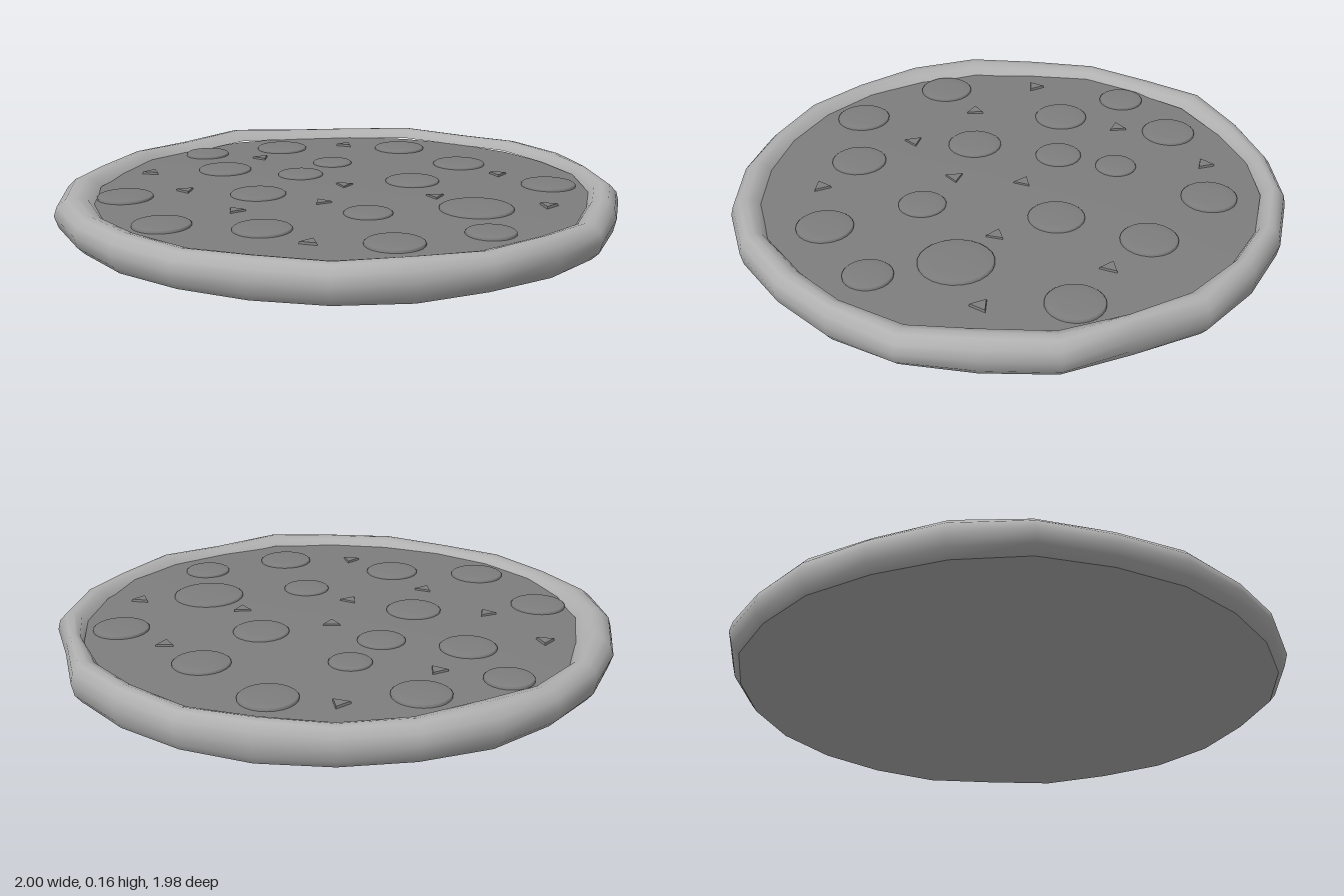
import * as THREE from 'three';

const SEG = 24;
// Hand-rolled unevenness of the crust, one value per 15 degrees from +x towards +z
const OUTER = [1, .99, .985, 1, 1, .99, .99, 1, 1.005, 1.03, 1.015, 1.005, 1, 1, 1.01, .99, .985, .99, .99, .99, 1, .96, 1, .985];
const INNER = [.89, .9, .88, .9, .89, .885, .88, .89, .89, .885, .885, .87, .9, .885, .885, .885, .895, .9, .9, .9, .895, .895, .89, .88];
const TOP = [.125, .14, .13, .145, .135, .14, .13, .135, .13, .135, .145, .135, .14, .135, .155, .14, .14, .15, .14, .15, .145, .15, .14, .145];

// Skins a stack of rings; point(i, j) gives [radius, height] at sector i, ring j
function loft(rings, point) {
  const pos = [], idx = [];
  for (let i = 0; i < SEG; i++) {
    const a = (i / SEG) * Math.PI * 2;
    for (let j = 0; j < rings; j++) {
      const [r, y] = point(i, j);
      pos.push(r * Math.cos(a), y, r * Math.sin(a));
      if (j === rings - 1) continue;
      const p = i * rings + j, q = ((i + 1) % SEG) * rings + j;
      idx.push(p, p + 1, q, q, p + 1, q + 1);
    }
  }
  const g = new THREE.BufferGeometry();
  g.setAttribute('position', new THREE.Float32BufferAttribute(pos, 3));
  g.setIndex(idx);
  g.computeVertexNormals();
  return g;
}

export function createModel() {
  const group = new THREE.Group();
  const crustMat = new THREE.MeshStandardMaterial({ color: 0xb0b0b0 });
  const toppingMat = new THREE.MeshStandardMaterial({ color: 0x7e7e7e });
  const add = (name, geo, mat, parent = group) => {
    const mesh = new THREE.Mesh(geo, mat);
    mesh.name = name;
    parent.add(mesh);
    return mesh;
  };

  // Rounded crust rim: [blend from inner to outer radius, share of rim height]
  const rim = [[.68, 0], [.9, .2], [1, .52], [.92, .78], [.7, .97], [.45, 1], [.18, .94], [0, .76]];
  add('crust', loft(rim.length, (i, j) => [
    THREE.MathUtils.lerp(INNER[i], OUTER[i], rim[j][0]),
    .005 * (1 - rim[j][1]) + TOP[i] * rim[j][1],
  ]), crustMat);

  // Flat underside
  add('base', loft(2, (i, j) => [j * THREE.MathUtils.lerp(INNER[i], OUTER[i], .68), j * .005]), crustMat);

  // Sauce and cheese surface
  const cheese = [[.91, .108], [.6, .111], [.3, .112], [0, .112]];
  add('cheese', loft(cheese.length, (i, j) => cheese[j]), toppingMat);

  // Round slices with a soft edge: x, z, radius
  const slices = new THREE.Group();
  slices.name = 'roundSlices';
  group.add(slices);
  const sliceShape = (r) => new THREE.LatheGeometry([
    [r, -.01], [r, .005], [r * .95, .009], [r * .6, .012], [0, .013],
  ].map(([x, y]) => new THREE.Vector2(x, y)), 24);
  [
    [-.16, -.70, .1], [.18, -.575, .1], [.61, -.455, .1], [-.57, -.44, .1], [-.25, -.325, .075],
    [.16, -.235, .1], [-.765, -.19, .085], [-.25, -.1, .085], [-.54, -.01, .1], [.535, -.015, .13],
    [-.215, .225, .1], [.25, .235, .085], [.705, .225, .085], [-.595, .505, .1], [.055, .58, .1],
    [.5, .49, .1], [-.255, .715, .1],
  ].forEach(([x, z, r]) => {
    add('slice', sliceShape(r), toppingMat, slices).position.set(x, .11, z);
  });

  // Small triangular crumbs: x, z, turn
  const crumbs = new THREE.Group();
  crumbs.name = 'crumbs';
  group.add(crumbs);
  const crumbGeo = new THREE.CylinderGeometry(.034, .04, .016, 3).toNonIndexed();
  crumbGeo.computeVertexNormals();
  [
    [-.38, -.63, 3.3], [.385, -.5, .5], [-.535, -.245, 1], [.73, -.18, .3], [-.02, -.045, .5], [.34, -.08, .6],
    [-.75, .175, 1.4], [.04, .2, 0], [-.465, .325, .9], [-.15, .45, .1], [.27, .625, 3.4],
  ].forEach(([x, z, turn]) => {
    const crumb = add('crumb', crumbGeo, toppingMat, crumbs);
    crumb.position.set(x, .11, z);
    crumb.rotation.y = turn;
  });

  return group;
}
